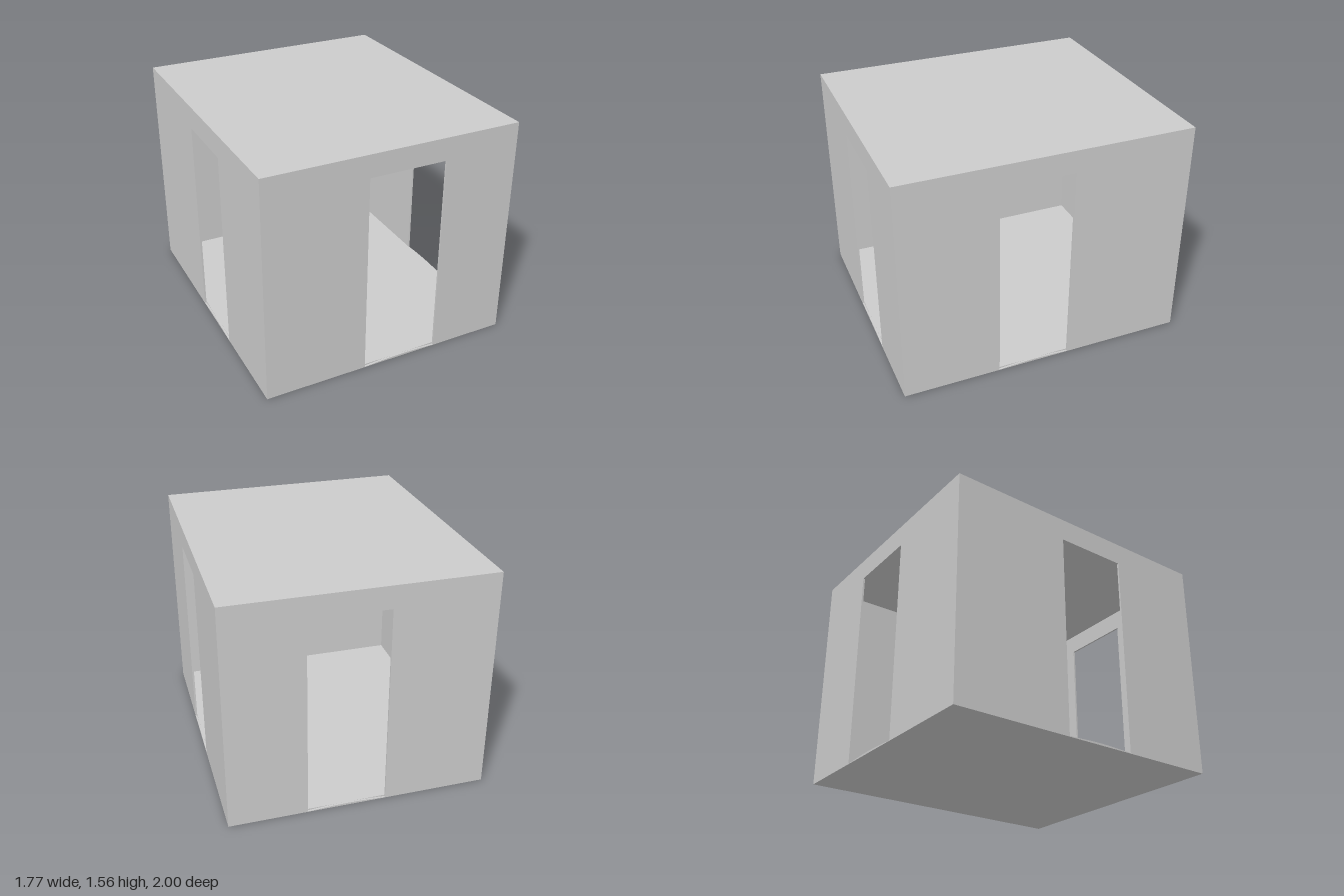
import * as THREE from 'three';

const W = 1.766, D = 2, H = 1.56, T = 0.013; // room size and shell thickness
const material = new THREE.MeshStandardMaterial({ color: 0xcccccc, flatShading: true });

// Thin wall panel with a doorway from a to b and a gently arched sill
function wall(name, length, a, b, top) {
  const h = length / 2;
  const shape = new THREE.Shape();
  shape.moveTo(-h, 0);
  shape.lineTo(h, 0);
  shape.lineTo(h, H - T);
  shape.lineTo(-h, H - T);
  shape.closePath();
  const door = new THREE.Path();
  door.moveTo(a, 0.002);
  door.lineTo(a, top);
  door.lineTo(b, top);
  door.lineTo(b, 0.002);
  door.quadraticCurveTo((a + b) / 2, 2 * T - 0.002, a, 0.002);
  shape.holes.push(door);
  const geometry = new THREE.ExtrudeGeometry(shape, { depth: T, bevelEnabled: false, curveSegments: 10 });
  const mesh = new THREE.Mesh(geometry, material);
  mesh.name = name;
  return mesh;
}

function slab(name, w, d, y) {
  const mesh = new THREE.Mesh(new THREE.BoxGeometry(w, T, d), material);
  mesh.name = name;
  mesh.position.y = y + T / 2;
  return mesh;
}

export function createModel() {
  const room = new THREE.Group();
  room.name = 'room';

  // Floor fits inside the walls, roof covers them
  room.add(slab('floor', W - 2 * T, D - 2 * T, 0));
  room.add(slab('roof', W, D, H - T));

  // Front and back walls with facing doorways
  const front = wall('frontWall', W, -0.18, 0.354, 1.405);
  front.position.z = D / 2 - T;
  const back = wall('backWall', W, -0.18, 0.354, 1.405);
  back.position.z = -D / 2;

  // Side walls, turned so the panel's length runs along -z
  const left = wall('leftWall', D - 2 * T, -0.335, 0.167, 1.403);
  left.rotation.y = Math.PI / 2;
  left.position.x = W / 2 - T;
  const right = wall('rightWall', D - 2 * T, -0.335, 0.167, 1.403);
  right.rotation.y = Math.PI / 2;
  right.position.x = -W / 2;

  room.add(front, back, left, right);
  return room;
}
